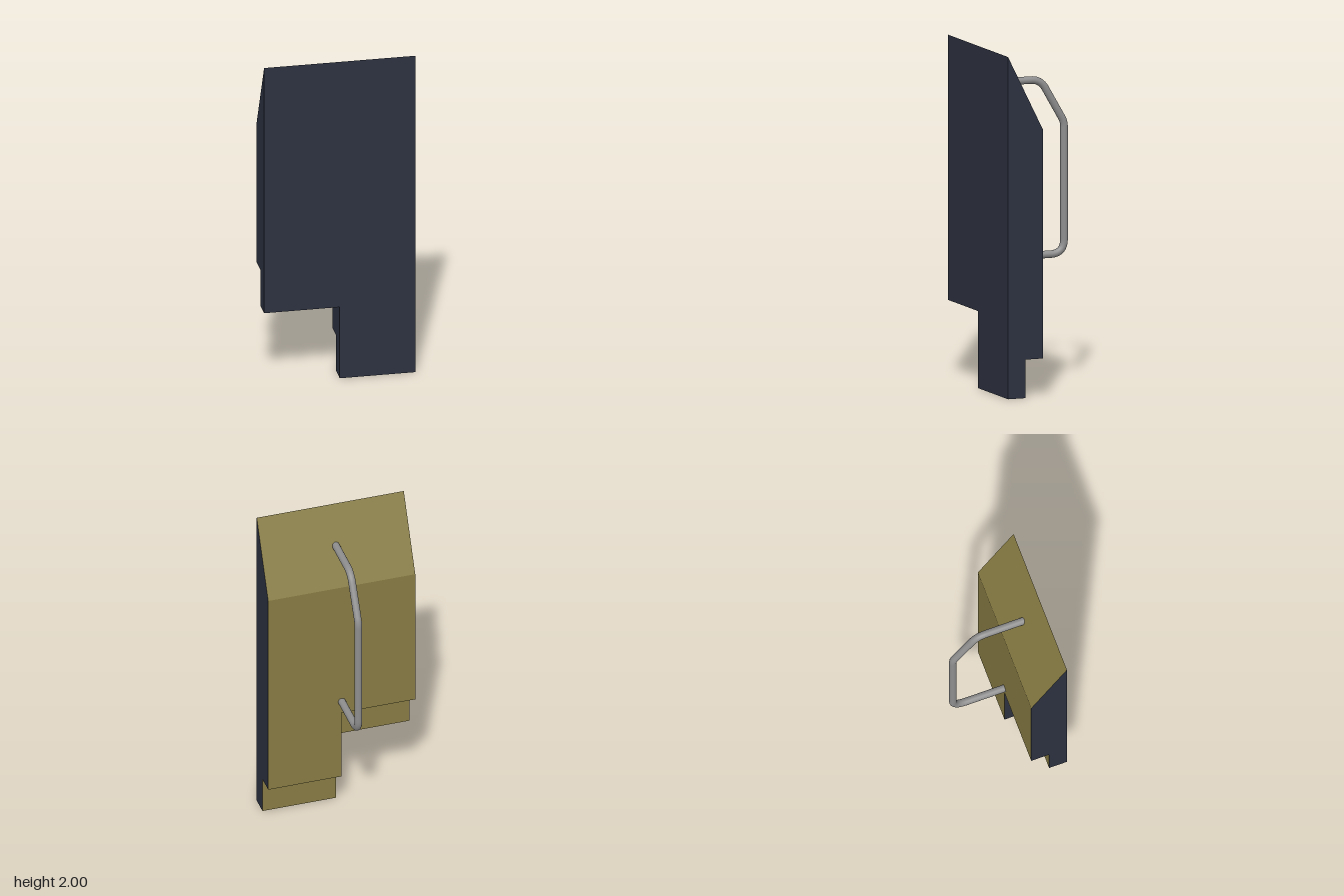
import * as THREE from 'three';

const HALF = 0.445, FRONT = 0.28, LEDGE = 0.17, BACK = 0.06;
const TOP = 2, SHOULDER = 1.56, STEP = 0.225, NOTCH = 0.45;

const dark = new THREE.MeshStandardMaterial({ color: 0x2c3140 });
const gold = new THREE.MeshStandardMaterial({ color: 0x877b43 });
const grey = new THREE.MeshStandardMaterial({ color: 0x8e8e8e });

// Side outline as [z, y], from the front bottom edge round the back to the top
const outline = (bottom) => [
  [FRONT, bottom], [LEDGE, bottom], [LEDGE, bottom + STEP],
  [BACK, bottom + STEP], [BACK, SHOULDER], [FRONT, TOP],
];

function addMesh(parent, name, geometry, material) {
  const mesh = new THREE.Mesh(geometry, material);
  mesh.name = name;
  parent.add(mesh);
}

const flatShape = (points) =>
  new THREE.ShapeGeometry(new THREE.Shape(points.map(([a, b]) => new THREE.Vector2(a, b))));

// Flat face across the x axis; dir = 1 faces +x, -1 faces -x
const sideFace = (points, x, dir) =>
  flatShape(points.map(([z, y]) => [-dir * z, y])).rotateY(dir * Math.PI / 2).translate(x, 0, 0);

// Surface swept along x from an outline, one flat quad per edge
function sweptFaces(points, x0, x1) {
  const positions = [];
  for (let i = 0; i < points.length - 1; i++) {
    const [[pz, py], [qz, qy]] = [points[i], points[i + 1]];
    const a = [x0, py, pz], b = [x0, qy, qz], c = [x1, qy, qz], d = [x1, py, pz];
    positions.push(...a, ...b, ...c, ...a, ...c, ...d);
  }
  const geometry = new THREE.BufferGeometry();
  geometry.setAttribute('position', new THREE.Float32BufferAttribute(positions, 3));
  geometry.computeVertexNormals();
  return geometry;
}

// Polyline in the x = 0 plane with rounded corners; each point is [z, y, bend]
function roundedPath(points) {
  const path = new THREE.CurvePath();
  const v = points.map(([z, y]) => new THREE.Vector3(0, y, z));
  let from = v[0];
  for (let i = 1; i < v.length - 1; i++) {
    const toward = (p) => p.clone().sub(v[i]).setLength(points[i][2]).add(v[i]);
    const start = toward(v[i - 1]), end = toward(v[i + 1]);
    path.add(new THREE.LineCurve3(from, start));
    path.add(new THREE.QuadraticBezierCurve3(start, v[i], end));
    from = end;
  }
  path.add(new THREE.LineCurve3(from, v[v.length - 1]));
  return path;
}

export function createModel() {
  const model = new THREE.Group();
  model.name = 'wedgeBlockWithHandle';

  const body = new THREE.Group();
  body.name = 'body';
  model.add(body);

  // Dark front face with its notched corner
  addMesh(body, 'frontFace', flatShape([
    [0, 0], [HALF, 0], [HALF, TOP], [-HALF, TOP], [-HALF, NOTCH], [0, NOTCH],
  ]).translate(0, 0, FRONT), dark);

  // Dark outer sides, and the side exposed by the notch
  addMesh(body, 'leftSide', sideFace(outline(0), HALF, 1), dark);
  addMesh(body, 'rightSide', sideFace(outline(NOTCH), -HALF, -1), dark);
  addMesh(body, 'notchSide', sideFace([
    ...outline(0).slice(0, 4),
    ...outline(NOTCH).slice(0, 4).reverse(),
  ], 0, -1), dark);

  // Gold bottom, ledge, back and sloping top of each half
  addMesh(body, 'leftBack', sweptFaces(outline(0), 0, HALF), gold);
  addMesh(body, 'rightBack', sweptFaces(outline(NOTCH), -HALF, 0), gold);

  // Bent rod handle, its ends sunk into the body
  const path = roundedPath([
    [0.2, 1.78], [-0.11, 1.78, 0.06], [-0.258, 1.525, 0.03],
    [-0.258, 0.755, 0.085], [0.08, 0.755],
  ]);
  addMesh(model, 'handle', new THREE.TubeGeometry(path, 160, 0.022, 16), grey);

  return model;
}
